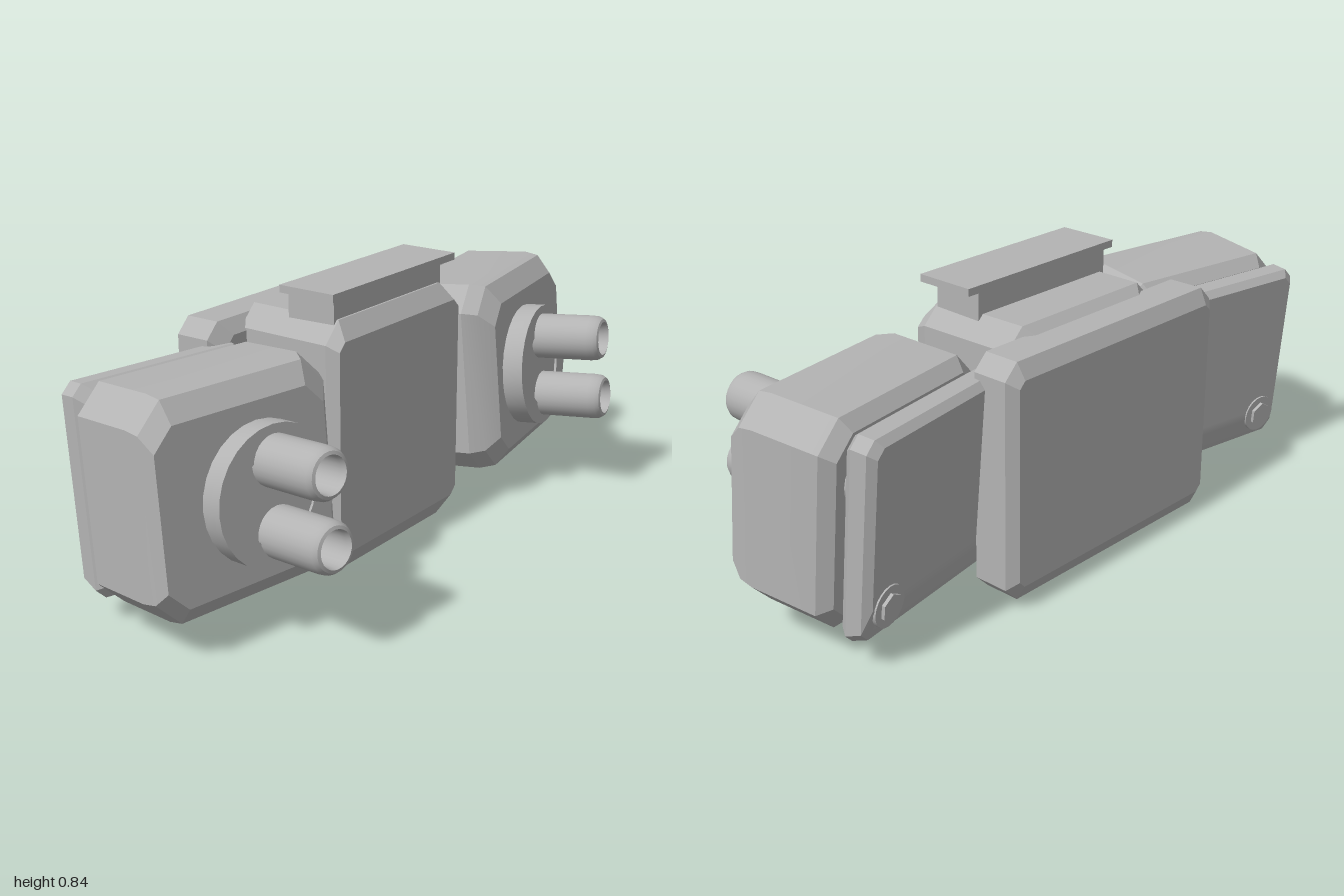
import * as THREE from 'three';
import { toCreasedNormals } from 'three/addons/utils/BufferGeometryUtils.js';

const grey = new THREE.MeshStandardMaterial({ color: 0xb3b3b3 });
grey.name = 'plain grey';

function add(parent, name, geometry, x = 0, y = 0, z = 0) {
  const mesh = new THREE.Mesh(geometry, grey);
  mesh.name = name;
  mesh.position.set(x, y, z);
  parent.add(mesh);
  return mesh;
}

// Chamfered block: octagonal sections [z, xMin, xMax, yMin, yMax, chamferX, chamferY] from back to front
function chamferedBlock(sections, crease = 0.3) {
  const pos = [], idx = [], n = 8;
  for (const [z, x0, x1, y0, y1, cx, cy] of sections) {
    const ring = [
      [x1, y0 + cy], [x1, y1 - cy], [x1 - cx, y1], [x0 + cx, y1],
      [x0, y1 - cy], [x0, y0 + cy], [x0 + cx, y0], [x1 - cx, y0],
    ];
    for (const [x, y] of ring) pos.push(x, y, z);
  }
  const last = (sections.length - 1) * n;
  for (let i = 0; i < last; i += n) {
    for (let j = 0; j < n; j++) {
      const k = (j + 1) % n;
      idx.push(i + j, i + k, i + n + k, i + j, i + n + k, i + n + j);
    }
  }
  for (let j = 1; j < n - 1; j++) {
    idx.push(0, j + 1, j, last, last + j, last + j + 1);
  }
  const g = new THREE.BufferGeometry();
  g.setAttribute('position', new THREE.Float32BufferAttribute(pos, 3));
  g.setIndex(idx);
  return toCreasedNormals(g, crease);
}

// Turned part with its axis along z; profile is [radius, z]
function turned(profile, sides) {
  const g = new THREE.LatheGeometry(profile.map(([r, z]) => new THREE.Vector2(r, z)), sides);
  return toCreasedNormals(g.rotateX(Math.PI / 2), 0.6);
}

// One side pod, s = 1 for left and -1 for right
function buildPod(s) {
  const pod = new THREE.Group();
  pod.name = s > 0 ? 'leftPod' : 'rightPod';
  pod.rotation.order = 'YXZ';
  pod.rotation.set(-0.085, s * 0.165, 0);
  pod.position.set(s * 0.665, 0.4, -0.04);

  // Sections are given inner to outer and mirrored for the right side
  const section = (z, inner, outer, y0, y1, cx, cy) =>
    s > 0 ? [z, inner, outer, y0, y1, cx, cy] : [z, -outer, -inner, y0, y1, cx, cy];

  add(pod, 'podBody', chamferedBlock([
    section(-0.165, -0.29, 0.29, -0.27, 0.27, 0.06, 0.06),
    section(-0.13, -0.32, 0.32, -0.305, 0.305, 0.075, 0.075),
    section(0.08, -0.32, 0.325, -0.305, 0.305, 0.075, 0.075),
    section(0.125, -0.295, 0.32, -0.3, 0.295, 0.075, 0.075),
    section(0.165, -0.255, 0.305, -0.25, 0.235, 0.06, 0.06),
  ]));

  // Rear cover with a sloping lower edge
  add(pod, 'rearCover', chamferedBlock([
    section(-0.27, -0.27, 0.265, -0.21, 0.27, 0.025, 0.025),
    section(-0.25, -0.285, 0.285, -0.285, 0.29, 0.03, 0.03),
    section(-0.2, -0.285, 0.285, -0.31, 0.29, 0.03, 0.03),
    section(-0.175, -0.265, 0.265, -0.3, 0.27, 0.03, 0.03),
  ]));
  add(pod, 'coverSpacer', turned([[0, -0.19], [0.08, -0.19], [0.08, -0.15], [0, -0.15]], 20),
    s * 0.18, 0.13, 0);

  // Hexagonal bolt on the lower outer corner
  const bolt = new THREE.Group();
  bolt.name = 'coverBolt';
  bolt.position.set(s * 0.2, -0.2, -0.265);
  add(bolt, 'boltWasher', turned([[0, -0.01], [0.06, -0.01], [0.06, 0.03], [0, 0.03]], 20));
  add(bolt, 'boltHead', turned([[0, -0.02], [0.04, -0.02], [0.04, 0], [0, 0]], 6));
  pod.add(bolt);

  // Round collar carrying two hollow barrels
  const mount = new THREE.Group();
  mount.name = 'barrelMount';
  mount.position.set(-s * 0.02, -0.01, 0);
  add(mount, 'collar', turned([
    [0, 0.13], [0.195, 0.13], [0.195, 0.23], [0.128, 0.23], [0.128, 0.222], [0, 0.222],
  ], 28));
  const barrel = turned([
    [0.072, 0.2], [0.072, 0.4], [0.07, 0.422], [0.062, 0.435],
    [0.053, 0.438], [0.05, 0.42], [0.05, 0.26], [0, 0.26],
  ], 24);
  for (const y of [0.0975, -0.0975]) {
    add(mount, y > 0 ? 'upperBarrel' : 'lowerBarrel', barrel, 0, y, 0);
  }
  pod.add(mount);
  return pod;
}

export function createModel() {
  const model = new THREE.Group();
  model.name = 'twinPodUnit';

  // Central housing
  add(model, 'centreBody', chamferedBlock([
    [-0.28, -0.27, 0.27, 0.04, 0.73, 0.05, 0.05],
    [-0.25, -0.305, 0.305, 0, 0.757, 0.06, 0.06],
    [0.06, -0.312, 0.312, 0, 0.757, 0.06, 0.06],
    [0.1, -0.3, 0.3, 0.065, 0.705, 0.025, 0.025],
  ]));

  // Rear plate
  add(model, 'backPlate', chamferedBlock([
    [-0.395, -0.41, 0.41, 0.075, 0.685, 0.02, 0.02],
    [-0.37, -0.44, 0.44, 0.028, 0.732, 0.045, 0.045],
    [-0.26, -0.44, 0.44, 0.028, 0.732, 0.045, 0.045],
    [-0.23, -0.4, 0.4, 0.07, 0.69, 0.04, 0.04],
  ]));

  // Top rail
  add(model, 'railStem', new THREE.BoxGeometry(0.53, 0.09, 0.16), 0, 0.777, -0.026);
  add(model, 'railPlate', new THREE.BoxGeometry(0.606, 0.022, 0.188), 0, 0.832, -0.013);

  // Side pods
  for (const s of [1, -1]) model.add(buildPod(s));
  return model;
}
